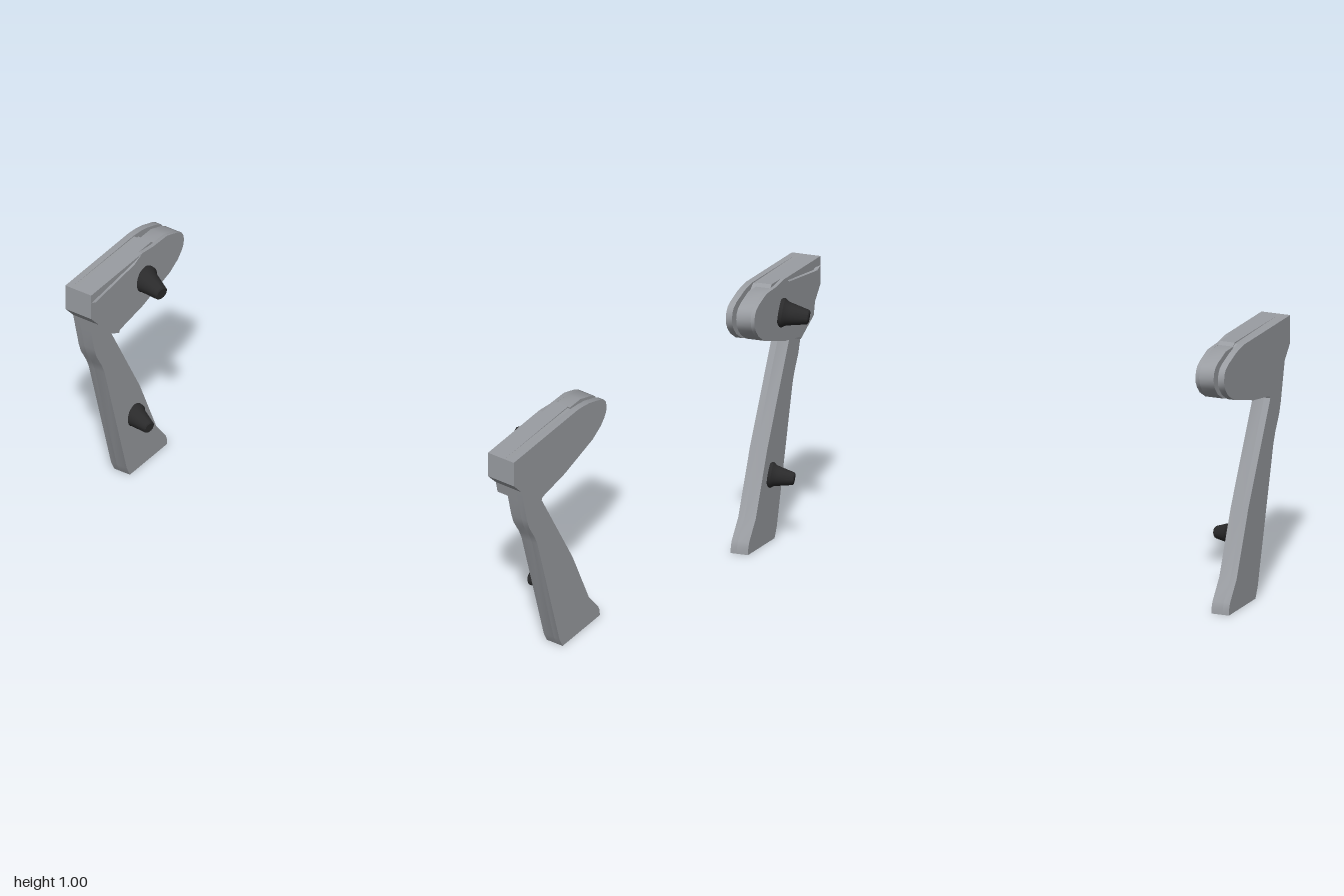
import * as THREE from 'three';
import { toCreasedNormals } from 'three/addons/utils/BufferGeometryUtils.js';

// Profiles are [z, y] pairs
const headRear = [
  [-0.11, 1.0], [-0.15, 0.995], [-0.19, 0.987], [-0.26, 0.962], [-0.283, 0.948], [-0.294, 0.932], [-0.299, 0.91],
  [-0.296, 0.888], [-0.284, 0.867], [-0.26, 0.842], [-0.21, 0.813], [-0.12, 0.788],
  [-0.03, 0.763], [0.1, 0.743], [0.115, 0.739], [0.12, 0.73],
];
const legLower = [
  [-0.08, 0.36], [-0.185, 0.12], [-0.245, 0.045], [-0.253, 0.025], [-0.256, 0], [-0.015, 0], [0.005, 0.04],
  [0.148, 0.55], [0.165, 0.59], [0.2, 0.65], [0.214, 0.69],
];
const headFront = [[0.25, 0.84], [0.3, 0.895], [0.3, 1.0]];

const outline = [...headRear, ...legLower, ...headFront];
const leg = [[0.12, 0.73], ...legLower, [0.238, 0.79], [0.13, 0.8]];
const head = [...headRear, [0.238, 0.79], ...headFront];

// Core is pulled in at the rear, which leaves the groove
const core = head.map(([z, y]) => {
  const t = THREE.MathUtils.clamp((-0.1 - z) / 0.2, 0, 1);
  return [z + 0.05 * t, y + (0.9 - y) * 0.3 * Math.min(1, t * 3)];
});

// Body sits a little below the flange behind the top step
const body = [[-0.11, 1.0], [-0.122, 0.988], ...headRear.slice(2), [0.238, 0.79], ...headFront];

// Inner face: thin lip along the top, and a pad below a narrow slit
const lip = [[0.3, 1.0], [-0.03, 1.0], [0.02, 0.99], [0.3, 0.965]];
const pad = [
  [-0.03, 1.0], [-0.1, 0.99], ...headRear.slice(2), [0.238, 0.79],
  [0.25, 0.84], [0.3, 0.895], [0.3, 0.965], [0.27, 0.953], [0.02, 0.978],
];

// Layers as [name, profile, inset from outer face: start, end]
const layers = [
  ['outerPlate', outline, 0, 0.025],
  ['leg', leg, 0.025, 0.07],
  ['headCore', core, 0.025, 0.042],
  ['headBody', body, 0.042, 0.1],
  ['innerLip', lip, 0.1, 0.115],
  ['innerPad', pad, 0.1, 0.115],
];

function plate(points, from, to, side) {
  const shape = new THREE.Shape(points.map(([z, y]) => new THREE.Vector2(z, y)));
  const geo = new THREE.ExtrudeGeometry(shape, { depth: to - from, bevelEnabled: false });
  geo.rotateY(-Math.PI / 2);
  geo.translate(side > 0 ? 1 - from : -1 + to, 0, 0);
  return toCreasedNormals(geo, 0.5);
}

// Tapered peg with a round flange, along +y
function pegGeometry() {
  const profile = [
    [0, -0.01], [0.054, -0.01], [0.055, 0.004], [0.046, 0.016], [0.042, 0.03],
    [0.027, 0.096], [0.022, 0.1], [0, 0.1],
  ].map(([r, y]) => new THREE.Vector2(r, y));
  return toCreasedNormals(new THREE.LatheGeometry(profile, 24), 0.5);
}

export function createModel() {
  const grey = new THREE.MeshStandardMaterial({ color: 0x9a9da2 });
  grey.name = 'grey shell';
  const dark = new THREE.MeshStandardMaterial({ color: 0x2a2a2b });
  dark.name = 'dark rubber';

  const model = new THREE.Group();
  model.name = 'bracketPair';
  const pegGeo = pegGeometry();
  const up = new THREE.Vector3(0, 1, 0);

  for (const side of [1, -1]) {
    const bracket = new THREE.Group();
    bracket.name = side > 0 ? 'leftBracket' : 'rightBracket';
    for (const [name, points, from, to] of layers) {
      const mesh = new THREE.Mesh(plate(points, from, to, side), grey);
      mesh.name = name;
      bracket.add(mesh);
    }
    // Pegs point inward, tilted slightly down and forward
    for (const [name, x, y, z, size] of [
      ['upperPeg', 0.885, 0.876, -0.045, 1],
      ['lowerPeg', 0.93, 0.25, -0.045, 0.87],
    ]) {
      const peg = new THREE.Mesh(pegGeo, dark);
      peg.name = name;
      peg.position.set(side * x, y, z);
      peg.scale.setScalar(size);
      peg.quaternion.setFromUnitVectors(up, new THREE.Vector3(-side, -0.14, 0.28).normalize());
      bracket.add(peg);
    }
    model.add(bracket);
  }
  return model;
}
